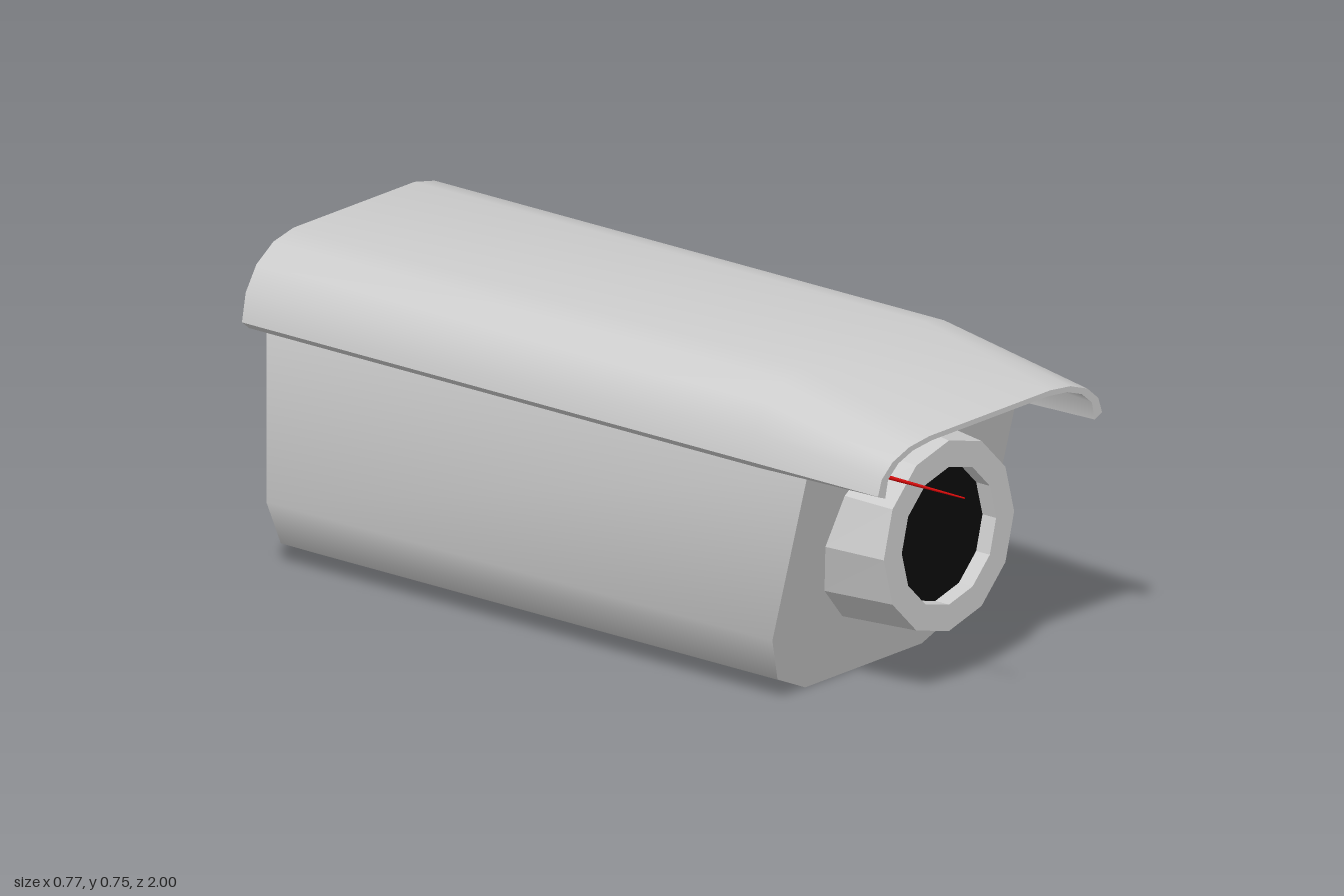
import * as THREE from 'three';
import { toCreasedNormals } from 'three/addons/utils/BufferGeometryUtils.js';

const CREASE = 0.85;
const LENS_Y = 0.36;

// The front face leans forward towards the top.
const frontZ = (y) => 0.49 + 0.25 * y;

function material(color = 0xcccccc, flatShading = false) {
  return new THREE.MeshStandardMaterial({ color, flatShading });
}

function part(name, geometry, mat) {
  const mesh = new THREE.Mesh(geometry, mat);
  mesh.name = name;
  return mesh;
}

// Moves every vertex by a rule acting on a Vector3.
function reshape(geometry, rule) {
  const pos = geometry.attributes.position;
  const v = new THREE.Vector3();
  for (let i = 0; i < pos.count; i++) {
    rule(v.fromBufferAttribute(pos, i));
    pos.setXYZ(i, v.x, v.y, v.z);
  }
  return geometry;
}

// Closed outline from its right half (listed bottom to top).
function mirrored(half) {
  const left = half.map(([x, y]) => [-x, y]).reverse();
  return [...half, ...left];
}

function extrude(points, steps) {
  const shape = new THREE.Shape(points.map(([x, y]) => new THREE.Vector2(x, y)));
  return new THREE.ExtrudeGeometry(shape, { depth: 1, steps, bevelEnabled: false });
}

function createHousing() {
  const outline = mirrored([
    [0.2, 0], [0.31, 0.05], [0.36, 0.16], [0.36, 0.56],
    [0.345, 0.61], [0.315, 0.65], [0.265, 0.68], [0.2, 0.69],
  ]);
  const geometry = reshape(extrude(outline, 1), (v) => {
    v.z = v.z > 0.5 ? frontZ(v.y) : -0.95;
  });
  return part('housing', toCreasedNormals(geometry, CREASE), material());
}

// Curved sheet over the housing, flattening towards the front.
function createSunshield() {
  const outer = [[0.385, 0.578], [0.372, 0.645], [0.335, 0.702], [0.277, 0.74], [0.208, 0.755]];
  const inner = [[0.2, 0.733], [0.265, 0.72], [0.315, 0.688], [0.35, 0.636], [0.36, 0.558]];
  const outline = [
    ...mirrored(outer),
    ...mirrored([...inner].reverse()).reverse(),
  ];
  const geometry = reshape(extrude(outline, 2), (v) => {
    if (v.z > 0.75) {
      v.y = 0.577 + (v.y - 0.577) * 0.55;
      v.z = 0.86;
    } else {
      v.z = v.z > 0.25 ? 0.49 : -1;
    }
  });
  return part('sunshield', toCreasedNormals(geometry, CREASE), material());
}

function createLens() {
  const lens = new THREE.Group();
  lens.name = 'lens';

  // Tapered barrel with a recessed opening, its base following the front face
  const profile = [[0.237, 0], [0.224, 0.74], [0.162, 0.74], [0.162, 0.7]]
    .map(([r, z]) => new THREE.Vector2(r, z));
  const barrel = new THREE.LatheGeometry(profile, 12);
  barrel.rotateX(Math.PI / 2);
  reshape(barrel, (v) => {
    v.y += LENS_Y;
    if (v.z < 0.1) v.z = frontZ(v.y) - 0.005;
  });
  const barrelMaterial = material(0xcccccc, true);
  barrelMaterial.side = THREE.DoubleSide;
  lens.add(part('lensBarrel', barrel, barrelMaterial));

  const glass = part('lensGlass', new THREE.CircleGeometry(0.163, 12), material(0x0a0a0a));
  glass.position.set(0, LENS_Y, 0.7);
  lens.add(glass);
  return lens;
}

function createPointer() {
  const pointer = new THREE.Group();
  pointer.name = 'pointer';
  const y = 0.57;

  // Small dark socket set into the front face
  const socket = new THREE.CylinderGeometry(0.022, 0.022, 0.02, 16).rotateX(Math.PI / 2);
  const socketMesh = part('pointerSocket', socket, material(0x0a0a0a));
  socketMesh.position.set(-0.252, y, frontZ(y));
  pointer.add(socketMesh);

  // Thin red beam
  const length = 1 - frontZ(y);
  const beam = new THREE.CylinderGeometry(0.002, 0.007, length, 8).rotateX(Math.PI / 2);
  const beamMesh = part('pointerBeam', beam, material(0xcc0000));
  beamMesh.position.set(-0.252, y + 0.001, 1 - length / 2);
  pointer.add(beamMesh);
  return pointer;
}

export function createModel() {
  const model = new THREE.Group();
  model.name = 'securityCamera';
  model.add(createHousing(), createSunshield(), createLens(), createPointer());
  return model;
}
